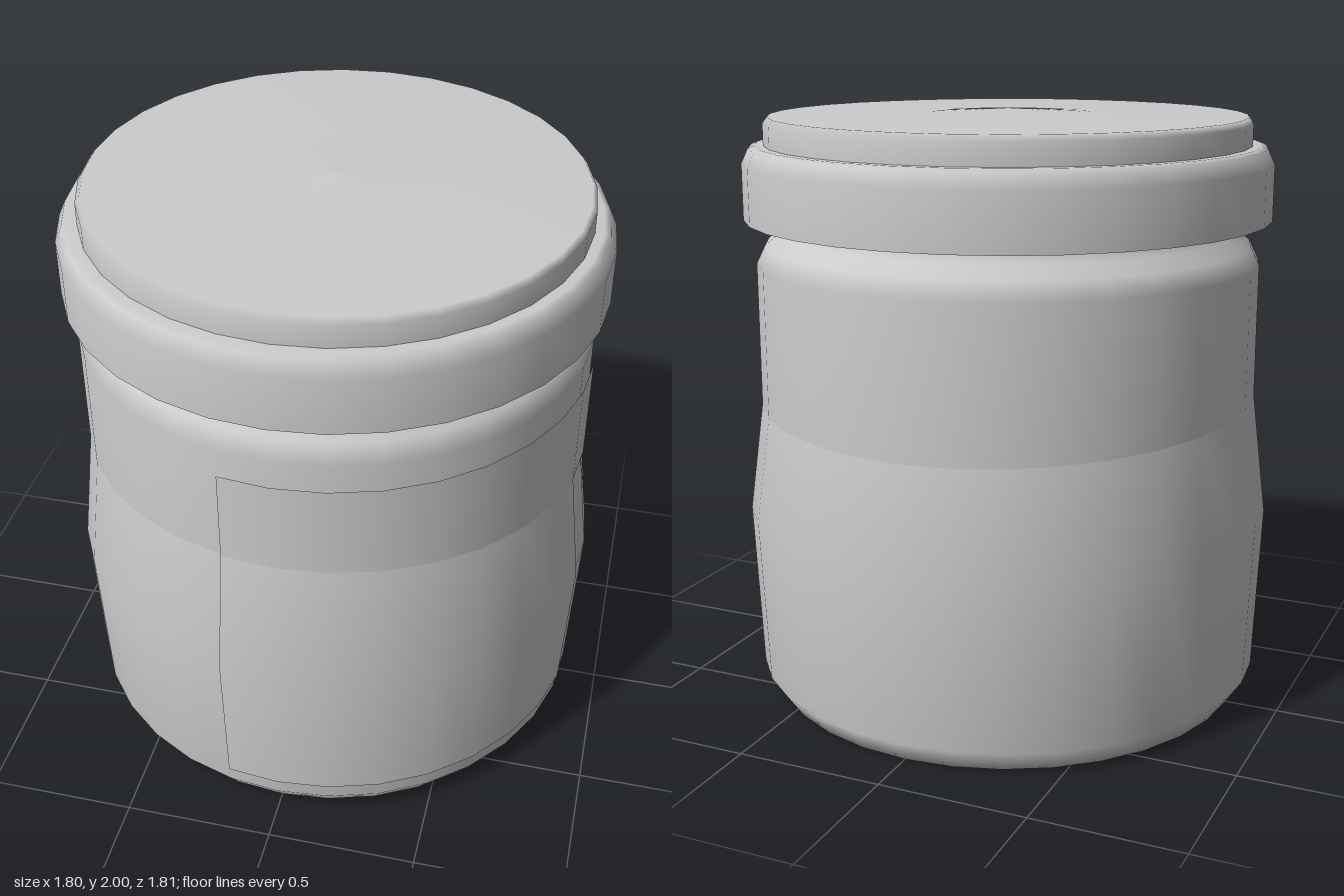
import * as THREE from 'three';

const SEGMENTS = 32;
const STEP = (Math.PI * 2) / SEGMENTS;
const WAIST = 1.045; // height of the crease where the wall starts to flare

const grey = new THREE.MeshStandardMaterial({ color: 0xcccccc, side: THREE.DoubleSide });

// Revolves a [radius, y] profile, listed bottom to top; a repeated point makes a crease.
function turned(name, profile, segments = SEGMENTS, start = 0) {
  const points = profile.map(([r, y]) => new THREE.Vector2(r, y));
  const geometry = new THREE.LatheGeometry(points, segments, start * STEP, segments * STEP);
  // Tilt the waist crease: higher at the front, lower at the back
  const pos = geometry.attributes.position;
  for (let i = 0; i < pos.count; i++) {
    if (Math.abs(pos.getY(i) - WAIST) < 1e-4) {
      pos.setY(i, WAIST + 0.06 * pos.getZ(i));
    }
  }
  const mesh = new THREE.Mesh(geometry, grey);
  mesh.name = name;
  return mesh;
}

export function createModel() {
  const jar = new THREE.Group();
  jar.name = 'jar';

  // Glass body: bevelled base, flared belly, straight shoulder, narrow neck
  jar.add(turned('body', [
    [0, 0], [0.82, 0], [0.875, 0.08], [0.9, 0.65],
    [0.85, WAIST], [0.85, WAIST],
    [0.85, 1.5], [0.82, 1.56], [0.77, 1.6], [0.745, 1.65], [0.74, 1.75],
  ]));

  // Label wrapped round the front left quarter; its upper band reaches one facet further
  const label = new THREE.Group();
  label.name = 'label';
  label.add(
    turned('labelLower', [[0.886, 0.14], [0.909, 0.65], [0.859, WAIST]], 8, -1),
    turned('labelUpper', [[0.859, WAIST], [0.859, 1.41]], 9, -1),
  );
  jar.add(label);

  // Screw lid: hollow rim with a bevelled upper edge
  const lid = new THREE.Group();
  lid.name = 'lid';
  lid.add(
    turned('lidRim', [
      [0.7, 1.72], [0.82, 1.72], [0.82, 1.72], [0.83, 1.65], [0.83, 1.65],
      [0.888, 1.645], [0.888, 1.645],
      [0.888, 1.83], [0.865, 1.88], [0.845, 1.888], [0.79, 1.888],
    ]),
    // Raised, faintly domed top
    turned('lidTop', [
      [0.815, 1.885], [0.815, 1.96], [0.8, 1.98], [0.3, 1.982], [0, 2],
    ]),
  );
  jar.add(lid);

  return jar;
}
